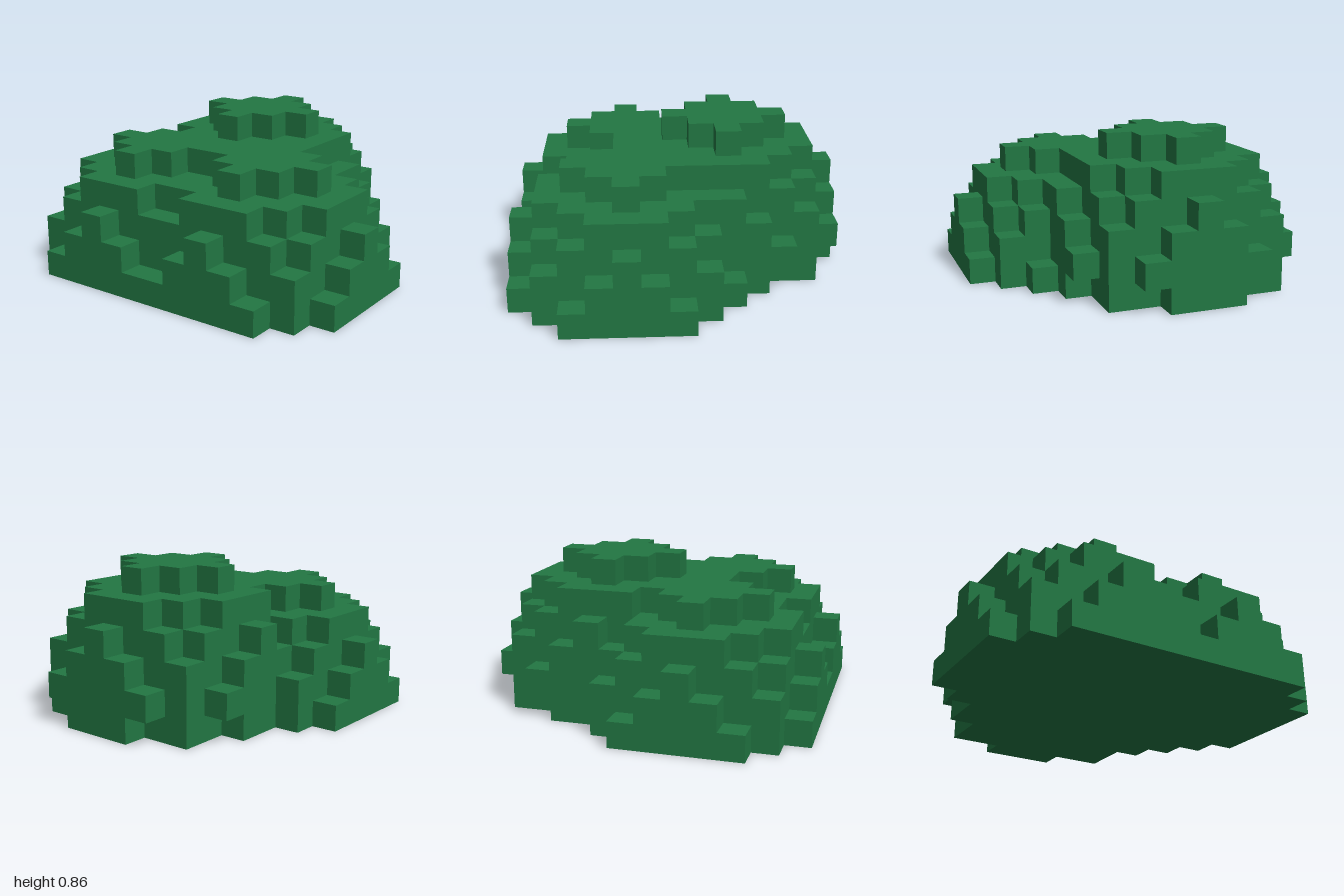
import * as THREE from 'three';
import { mergeGeometries } from 'three/addons/utils/BufferGeometryUtils.js';

const CELL = 1 / 7;          // edge of one block
const NX = 13, NZ = 14;      // blocks across and deep
const RADIUS = 4.5;          // lobe radius in blocks

// Block-ball lobes of the bush, centred on grid cells and cut off at the ground
const LOBES = [
  { name: 'tallLobe', centre: [8, 1, 6] },
  { name: 'frontLobe', centre: [4, 0, 9] },
  { name: 'backLobe', centre: [4, 0, 4] },
];

// Index of the first lobe that owns a cell, or -1 for air
function owner(x, y, z) {
  if (y < 0) return -1;
  return LOBES.findIndex(({ centre: [a, b, c] }) =>
    (x - a) ** 2 + (y - b) ** 2 + (z - c) ** 2 <= RADIUS ** 2);
}

// One face of a block per direction, already offset from the block centre
const FACES = [
  { dir: [0, 0, 1], rx: 0, ry: 0 },
  { dir: [0, 0, -1], rx: 0, ry: Math.PI },
  { dir: [1, 0, 0], rx: 0, ry: Math.PI / 2 },
  { dir: [-1, 0, 0], rx: 0, ry: -Math.PI / 2 },
  { dir: [0, 1, 0], rx: -Math.PI / 2, ry: 0 },
  { dir: [0, -1, 0], rx: Math.PI / 2, ry: 0 },
].map(({ dir, rx, ry }) => ({
  dir,
  geometry: new THREE.PlaneGeometry(CELL, CELL)
    .translate(0, 0, CELL / 2).rotateX(rx).rotateY(ry),
}));

// Outer skin of one lobe: only faces that touch air
function lobeGeometry(index) {
  const quads = [];
  for (let x = 0; x < NX; x++) {
    for (let y = 0; y < 6; y++) {
      for (let z = 0; z < NZ; z++) {
        if (owner(x, y, z) !== index) continue;
        for (const { dir: [dx, dy, dz], geometry } of FACES) {
          if (owner(x + dx, y + dy, z + dz) >= 0) continue;
          quads.push(geometry.clone().translate(
            (x + 0.5 - NX / 2) * CELL, (y + 0.5) * CELL, (z + 0.5 - NZ / 2) * CELL));
        }
      }
    }
  }
  return mergeGeometries(quads);
}

export function createModel() {
  const bush = new THREE.Group();
  bush.name = 'bush';
  const leafGreen = new THREE.MeshStandardMaterial({ color: 0x227743 });
  leafGreen.name = 'leafGreen';
  LOBES.forEach(({ name }, i) => {
    const mesh = new THREE.Mesh(lobeGeometry(i), leafGreen);
    mesh.name = name;
    bush.add(mesh);
  });
  return bush;
}
